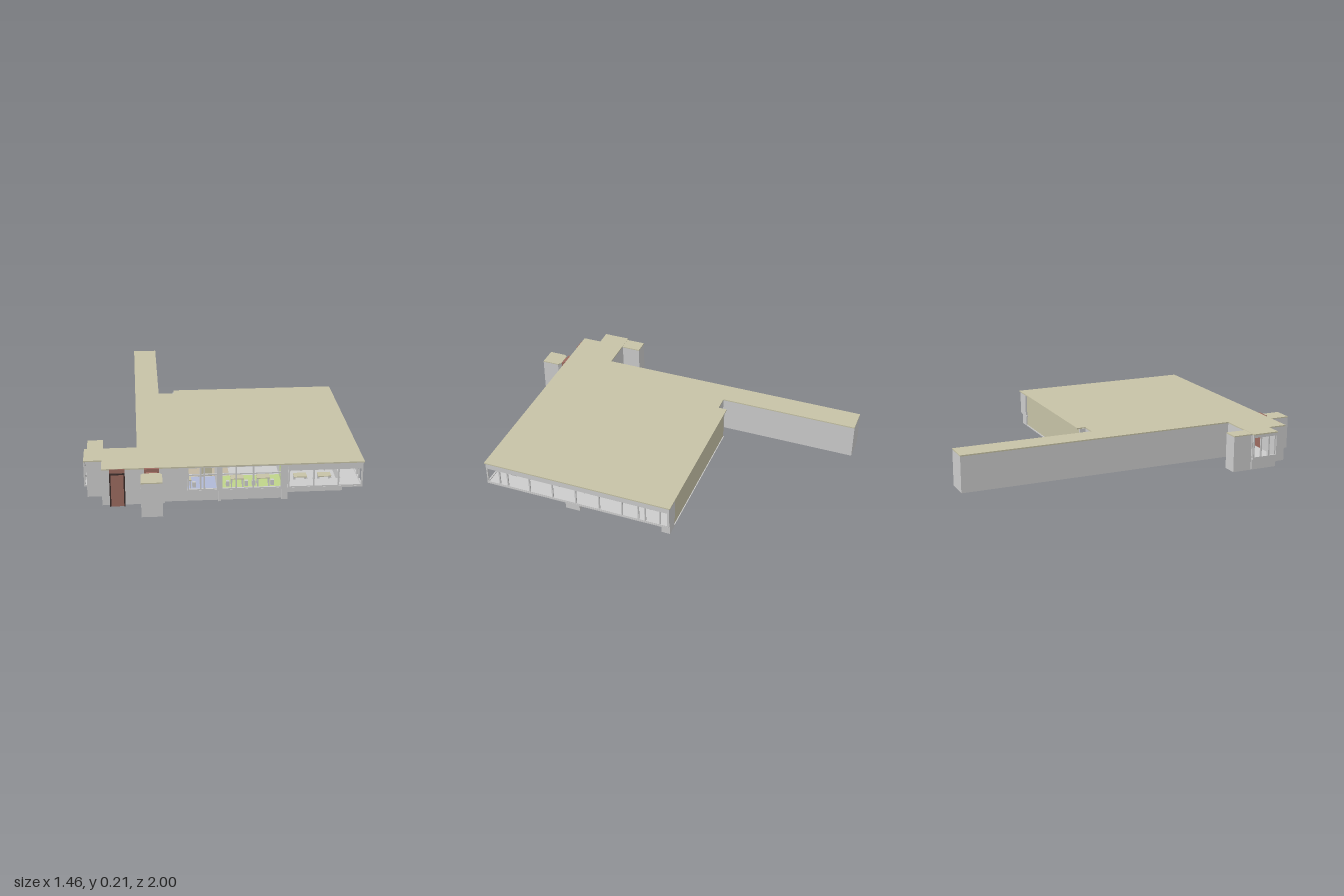
import * as THREE from 'three';

const GREY = 0xcccccc, BEIGE = 0xc6c2a6, RED = 0x9c6b60, GREEN = 0xbfd48a, DARK = 0x3a2c2a;
const mats = {};
const mat = (color) => (mats[color] ??= new THREE.MeshStandardMaterial({ color, side: THREE.DoubleSide }));

export function createModel() {
  const root = new THREE.Group();
  root.name = 'building';

  // box from its limits on each axis
  const box = (name, x0, x1, y0, y1, z0, z1, color = GREY, parent = root) => {
    const m = new THREE.Mesh(new THREE.BoxGeometry(x1 - x0, y1 - y0, z1 - z0), mat(color));
    m.position.set((x0 + x1) / 2, (y0 + y1) / 2, (z0 + z1) / 2);
    m.name = name;
    parent.add(m);
    return m;
  };

  // horizontal plate from an outline of [x, z] points, with rectangular holes
  const plate = (name, pts, y0, y1, color, holes = []) => {
    const toPath = (p, C) => new C(p.map(([x, z]) => new THREE.Vector2(x, -z)));
    const shape = toPath(pts, THREE.Shape);
    for (const [x0, x1, z0, z1] of holes)
      shape.holes.push(toPath([[x0, z0], [x1, z0], [x1, z1], [x0, z1]], THREE.Path));
    const g = new THREE.ExtrudeGeometry(shape, { depth: y1 - y0, bevelEnabled: false });
    g.rotateX(-Math.PI / 2);
    const m = new THREE.Mesh(g, mat(color));
    m.position.y = y0;
    m.name = name;
    root.add(m);
  };

  // open window band: posts at the given stations, rails at the given heights
  const windows = (name, alongX, at, stops, rails, y0, y1, t = 0.008) => {
    const g = new THREE.Group();
    g.name = name;
    const bar = (a, b, lo, hi, part) => alongX
      ? box(part, a, b, lo, hi, at - t / 2, at + t / 2, GREY, g)
      : box(part, at - t / 2, at + t / 2, lo, hi, a, b, GREY, g);
    for (const s of stops) bar(s - 0.004, s + 0.004, y0, y1, 'mullion');
    for (const [lo, hi] of rails) bar(Math.min(...stops), Math.max(...stops), lo, hi, 'rail');
    root.add(g);
  };

  // roof
  plate('roof', [
    [-0.45, -1], [-0.31, -1], [-0.31, -0.2], [-0.22, -0.2], [-0.22, -0.25], [0.73, -0.25],
    [0.73, 0.855], [-0.635, 0.855], [-0.635, 0.745], [-0.73, 0.745], [-0.73, 0.59], [-0.45, 0.59],
  ], 0.2, 0.207, BEIGE);

  // floor with coloured room floors set into it
  const rooms = [
    ['greenRoomFloor', GREEN, [-0.025, 0.325, 0.555, 0.82]],
    ['blueRoomFloor', 0xb0b9d6, [-0.305, -0.03, 0.555, 0.82]],
    ['brownRoomFloor', 0xc2b8a2, [-0.33, 0.05, 0.35, 0.55]],
  ];
  plate('floor', [
    [-0.45, -1], [-0.31, -1], [-0.31, -0.2], [-0.22, -0.2], [-0.22, -0.24], [0.635, -0.24],
    [0.635, 0.765], [0.33, 0.765], [0.33, 0.83], [-0.31, 0.83], [-0.31, 0.85], [-0.635, 0.85],
    [-0.635, 0.745], [-0.715, 0.745], [-0.715, 0.59], [-0.45, 0.59],
  ], 0, 0.006, GREY, rooms.map((r) => r[2]).map(([a, b, c, d]) => [a, b, c, Math.min(d, 0.76)]));
  for (const [name, color, [a, b, c, d]] of rooms) box(name, a, b, 0, 0.007, c, Math.min(d, 0.76), color);

  // long rear wing
  const T = 0.2;
  box('wingWestWall', -0.45, -0.44, 0, T, -1, 0.59);
  box('wingEastWall', -0.32, -0.31, 0, T, -1, 0.35);
  box('wingEndWall', -0.44, -0.32, 0, T, -1, -0.99);

  // back walls
  box('rearStepWall', -0.31, -0.22, 0, T, -0.2, -0.19);
  box('rearStepSide', -0.225, -0.215, 0, T, -0.235, -0.19);
  box('backWall', -0.215, 0.635, 0, T, -0.235, -0.225, BEIGE);

  // low plinth walls, with fins carrying the projecting bay
  box('eastPlinth', 0.625, 0.635, 0, 0.065, -0.225, 0.765);
  box('bayPlinth', 0.33, 0.625, 0, 0.065, 0.755, 0.765);
  box('frontPlinth', -0.195, 0.33, 0, 0.065, 0.82, 0.83);
  for (const [a, b] of [[-0.24, -0.19], [0.295, 0.38]]) box('plinthFin', 0.635, 0.7, 0, 0.06, a, b);

  // projecting bay: sill, header and window bands
  box('eastSill', 0.625, 0.725, 0.06, 0.068, -0.24, 0.85);
  box('frontSill', 0.33, 0.625, 0.06, 0.068, 0.755, 0.85);
  box('eastHeader', 0.71, 0.725, 0.17, T, -0.24, 0.85);
  box('frontHeader', 0.33, 0.71, 0.17, T, 0.835, 0.85);
  box('bayEndPanel', 0.635, 0.725, 0.068, T, -0.245, -0.235);
  windows('eastWindows', false, 0.72, [-0.236, -0.19, -0.105, -0.065, 0.03, 0.165, 0.305, 0.445, 0.585, 0.72, 0.77, 0.845],
    [[0.068, 0.074], [0.164, 0.17]], 0.068, 0.17);
  windows('bayWindows', true, 0.845, [0.336, 0.467, 0.597, 0.721], [[0.068, 0.074], [0.164, 0.17]], 0.068, 0.17);

  // front windows and pier
  box('frontWindowSill', -0.195, 0.33, 0.06, 0.068, 0.83, 0.85);
  windows('frontWindows', true, 0.845, [-0.19, -0.125, -0.105, -0.035, -0.016, 0.06, 0.15, 0.296],
    [[0.068, 0.074], [0.152, 0.158], [0.194, 0.2]], 0.068, T);
  box('frontPier', 0.298, 0.33, 0, T, 0.82, 0.848);
  box('middlePier', -0.033, -0.02, 0, T, 0.82, 0.848);

  // solid entrance front
  box('frontWall', -0.31, -0.195, 0, T, 0.82, 0.83);
  box('entranceCheek', -0.325, -0.31, 0, T, 0.82, 0.85);
  for (const [a, b] of [[-0.635, -0.595], [-0.515, -0.415], [-0.34, -0.325]])
    box('entranceWall', a, b, 0, T, 0.84, 0.85);
  box('entranceWestWall', -0.635, -0.625, 0, T, 0.745, 0.84);

  // red doors with surrounds
  box('door', -0.588, -0.522, 0, 0.178, 0.855, 0.868, RED);
  box('doorBacking', -0.595, -0.515, 0, 0.205, 0.842, 0.86, RED);
  for (const x of [-0.595, -0.522]) box('doorJamb', x, x + 0.007, 0, 0.184, 0.86, 0.87, DARK);
  box('doorHead', -0.588, -0.522, 0.178, 0.184, 0.86, 0.87, DARK);
  box('porchDoor', -0.415, -0.34, 0, 0.206, 0.842, 0.868, RED);
  box('porchLink', -0.405, -0.35, 0, 0.19, 0.868, 0.89, RED);

  // free-standing blocks with beige caps
  const bevelled = [[-0.435, 0.9], [-0.42, 0.885], [-0.34, 0.885], [-0.325, 0.9], [-0.325, 1], [-0.435, 1]];
  plate('frontBlock', bevelled, 0, 0.185, GREY);
  plate('frontBlockCap', bevelled, 0.185, 0.191, BEIGE);
  box('sideBlock', -0.715, -0.63, 0, T, 0.475, 0.585);
  box('sideBlockCap', -0.715, -0.63, T, 0.206, 0.475, 0.59, BEIGE);

  // west annex with its small bay window
  box('annexFrontWall', -0.715, -0.635, 0, T, 0.735, 0.745);
  box('annexRearWall', -0.715, -0.45, 0, T, 0.59, 0.6);
  box('annexPlinth', -0.715, -0.705, 0, 0.065, 0.6, 0.735);
  box('annexSill', -0.73, -0.705, 0.06, 0.068, 0.59, 0.745);
  windows('annexWindows', false, -0.726, [0.594, 0.64, 0.69, 0.741], [[0.068, 0.074], [0.185, 0.2]], 0.068, T);

  // inside walls
  box('greenPartition', 0.322, 0.332, 0.007, T, 0.58, 0.82, GREEN);
  box('hallPartition', 0.322, 0.332, 0.007, T, 0.3, 0.58);
  box('rearPartition', 0.322, 0.332, 0.007, T, -0.225, 0.3, BEIGE);
  box('roomPartition', -0.03, -0.02, 0.007, T, 0.55, 0.82);
  box('corridorWall', -0.31, 0.322, 0.007, T, 0.34, 0.35);
  box('corridorScreen', -0.11, -0.045, 0.007, T, 0.54, 0.55, BEIGE);
  box('westPartition', -0.32, -0.31, 0.007, T, 0.555, 0.82);

  // tables and stools
  const table = (x, z) => {
    const g = new THREE.Group();
    g.name = 'table';
    box('tableTop', -0.035, 0.035, 0.048, 0.053, -0.025, 0.025, BEIGE, g);
    for (const sx of [-1, 1]) {
      for (const sz of [-1, 1])
        box('tableLeg', sx * 0.03 - 0.003, sx * 0.03 + 0.003, 0, 0.048, sz * 0.02 - 0.003, sz * 0.02 + 0.003, GREY, g);
      box('stool', sx * 0.05 - 0.009, sx * 0.05 + 0.009, 0, 0.03, -0.009, 0.009, GREY, g);
    }
    g.position.set(x, 0.006, z);
    root.add(g);
  };
  for (const x of [0.42, 0.55]) for (const z of [-0.1, 0.1, 0.3, 0.5, 0.68]) table(x, z);
  for (const x of [-0.2, 0.08, 0.22]) table(x, 0.68);

  return root;
}
